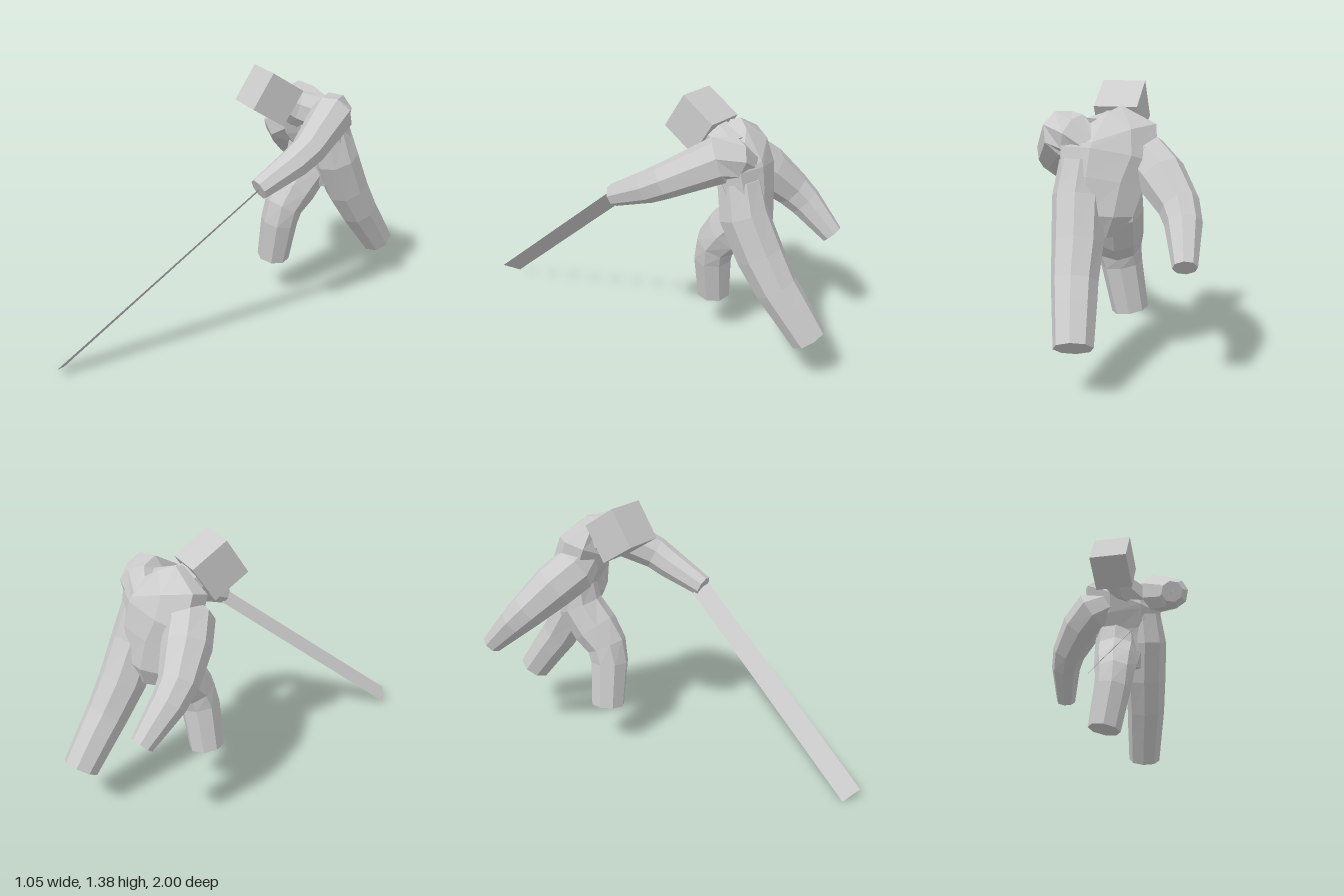
import * as THREE from 'three';

const material = new THREE.MeshStandardMaterial({ color: 0xcccccc, flatShading: true, side: THREE.DoubleSide });
const V = (a) => new THREE.Vector3(a[0], a[1], a[2]);

// Closed faceted skin through rings [x, y, z, half width along "side", half depth]
function loft(name, rings, side, sides = 8) {
  const pos = [], index = [], n = rings.length;
  rings.forEach(([x, y, z, w, d = w], i) => {
    const t = V(rings[Math.min(i + 1, n - 1)]).sub(V(rings[Math.max(i - 1, 0)])).normalize();
    const u = V(side).addScaledVector(t, -V(side).dot(t)).normalize();
    const v = t.clone().cross(u);
    for (let j = 0; j < sides; j++) {
      const a = ((j + 0.5) / sides) * Math.PI * 2;
      const p = new THREE.Vector3(x, y, z)
        .addScaledVector(u, Math.cos(a) * w)
        .addScaledVector(v, Math.sin(a) * d);
      pos.push(p.x, p.y, p.z);
    }
  });
  const first = pos.length / 3, last = first + 1;
  pos.push(...rings[0].slice(0, 3), ...rings[n - 1].slice(0, 3));
  for (let j = 0; j < sides; j++) {
    const k = (j + 1) % sides, e = (n - 1) * sides;
    for (let i = 0; i < n - 1; i++) {
      const a = i * sides, b = a + sides;
      index.push(a + j, a + k, b + k, a + j, b + k, b + j);
    }
    index.push(first, k, j, last, e + j, e + k);
  }
  const geo = new THREE.BufferGeometry();
  geo.setAttribute('position', new THREE.Float32BufferAttribute(pos, 3));
  geo.setIndex(index);
  geo.computeVertexNormals();
  const mesh = new THREE.Mesh(geo, material);
  mesh.name = name;
  return mesh;
}

export function createModel() {
  const model = new THREE.Group();
  model.name = 'lungingFigure';

  // Torso, twisted along the line of the shoulders
  model.add(loft('torso', [
    [0.22, 0.68, -0.52, 0.1, 0.06],
    [0.22, 0.78, -0.53, 0.17, 0.1],
    [0.2, 0.93, -0.51, 0.21, 0.115],
    [0.16, 1.04, -0.485, 0.25, 0.135],
    [0.15, 1.11, -0.46, 0.25, 0.135],
    [0.2, 1.2, -0.42, 0.15, 0.07],
  ], [0.42, 0.16, 0.15]));

  // Neck
  model.add(loft('neck', [
    [0.2, 1.12, -0.43, 0.11], [0.1, 1.15, -0.38, 0.1], [0.03, 1.2, -0.29, 0.07],
  ], [0, 1, 0]));

  // Cube head, tilted
  const head = new THREE.Mesh(new THREE.BoxGeometry(0.214, 0.214, 0.214), material);
  head.name = 'head';
  const ax = new THREE.Vector3(0.18, 0, 0.116).normalize();
  const ay = new THREE.Vector3(0.066, 0.18, -0.095);
  ay.addScaledVector(ax, -ay.dot(ax)).normalize();
  head.quaternion.setFromRotationMatrix(new THREE.Matrix4().makeBasis(ax, ay, ax.clone().cross(ay)));
  head.position.set(0.012, 1.232, -0.252);
  model.add(head);

  // Arms: the left reaches forward, the right trails behind
  model.add(loft('leftArm', [
    [0.24, 1.09, -0.5, 0.07],
    [0.305, 1.14, -0.43, 0.105],
    [0.335, 1.145, -0.36, 0.115],
    [0.325, 1.02, -0.1, 0.09],
    [0.29, 0.972, -0.02, 0.083],
    [0.195, 0.875, 0.17, 0.058],
  ], [1, 0, 0]));
  model.add(loft('rightArm', [
    [0.07, 1.06, -0.47, 0.1],
    [-0.02, 1.025, -0.505, 0.125],
    [-0.06, 0.955, -0.6, 0.122],
    [-0.098, 0.835, -0.735, 0.099],
    [-0.09, 0.765, -0.81, 0.087],
    [-0.037, 0.607, -0.96, 0.057],
  ], [1, 0, 0]));

  // Legs: the left stretched back, the right bent under the body
  model.add(loft('leftLeg', [
    [0.28, 1.02, -0.46, 0.11],
    [0.31, 0.86, -0.49, 0.125],
    [0.342, 0.66, -0.58, 0.122],
    [0.382, 0.5, -0.67, 0.11],
    [0.403, 0.41, -0.735, 0.104],
    [0.44, 0.25, -0.845, 0.092],
  ], [1, 0, 0]));
  model.add(loft('rightLeg', [
    [0.14, 0.91, -0.52, 0.13, 0.11],
    [0.13, 0.78, -0.5, 0.135, 0.12],
    [0.09, 0.66, -0.415, 0.126],
    [0.06, 0.57, -0.35, 0.11],
    [0.042, 0.48, -0.335, 0.104],
    [0, 0.237, -0.345, 0.092],
  ], [1, 0, 0]));

  // Flat blade held in the left hand
  const blade = new THREE.BufferGeometry();
  blade.setAttribute('position', new THREE.Float32BufferAttribute([
    -0.527, 0, 0.91, -0.484, 0.05, 1.0, 0.21, 0.89, 0.2, 0.167, 0.845, 0.115,
  ], 3));
  blade.setIndex([0, 1, 2, 0, 2, 3]);
  blade.computeVertexNormals();
  const sword = new THREE.Mesh(blade, material);
  sword.name = 'blade';
  model.add(sword);

  return model;
}
